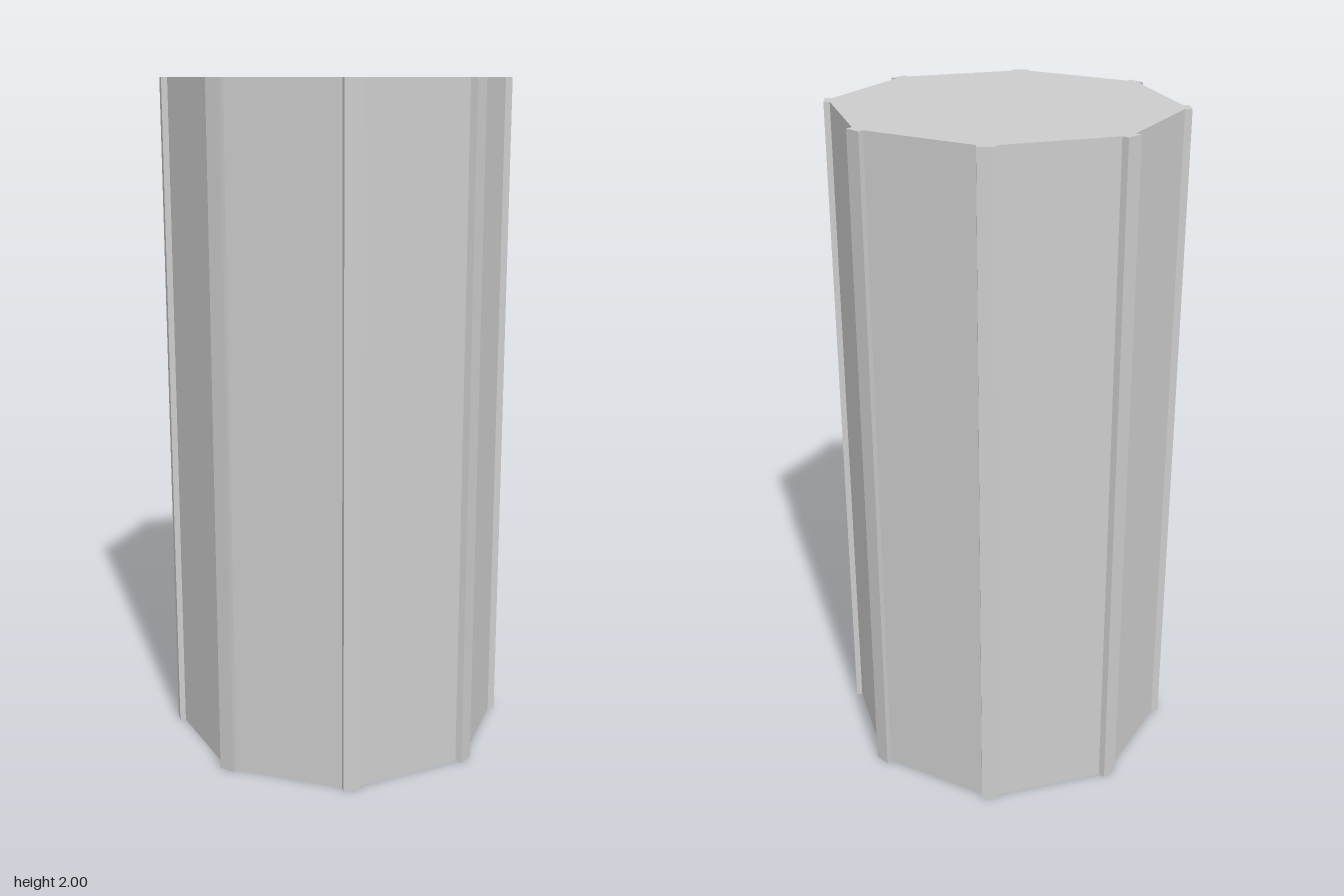
import * as THREE from 'three';

const HEIGHT = 2;

// One quarter of the outline: two corner ribs joined by a diagonal face.
const QUARTER = [
  [0.461, 0.167], [0.478, 0.178], [0.455, 0.222], [0.441, 0.211], // first rib
  [0.208, 0.446], [0.213, 0.466], [0.165, 0.478], [0.161, 0.461], // second rib
];

// Repeat the quarter four times around the axis.
function ribbedOctagon() {
  const points = [];
  for (let i = 0; i < 4; i++) {
    for (const [x, y] of QUARTER) {
      points.push(new THREE.Vector2(x, y).rotateAround(new THREE.Vector2(), i * Math.PI / 2));
    }
  }
  return new THREE.Shape(points);
}

export function createModel() {
  const group = new THREE.Group();
  group.name = 'ribbedOctagonalColumn';

  // Solid column with ribs running its full height
  const geometry = new THREE.ExtrudeGeometry(ribbedOctagon(), { depth: HEIGHT, bevelEnabled: false });
  geometry.rotateX(-Math.PI / 2);
  const material = new THREE.MeshStandardMaterial({ color: 0xcccccc, flatShading: true });
  const column = new THREE.Mesh(geometry, material);
  column.name = 'columnWithCornerRibs';
  group.add(column);

  return group;
}
